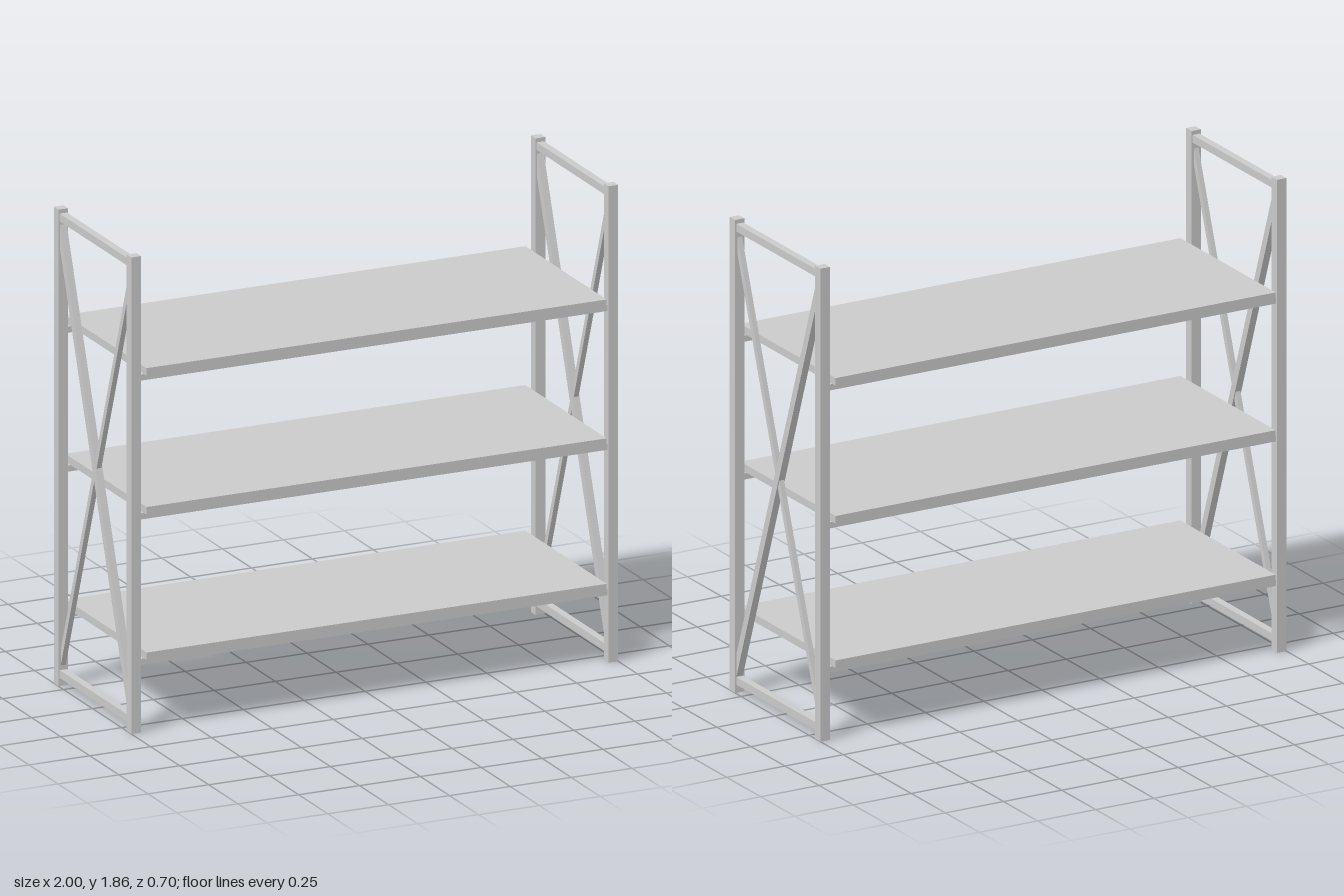
import * as THREE from 'three';

const H = 1.86, POST_X = 0.98, POST_Z = 0.314, POST = 0.04;
const GAP = POST_Z - POST / 2; // inner face of the posts
const material = new THREE.MeshStandardMaterial({ color: 0xcccccc, flatShading: true });

function add(parent, name, geometry, x, y, z) {
  const mesh = new THREE.Mesh(geometry, material);
  mesh.name = name;
  mesh.position.set(x, y, z);
  parent.add(mesh);
}

const box = (w, h, d) => new THREE.BoxGeometry(w, h, d);

// Diagonal bar in the YZ plane whose ends are cut flush with the posts.
// a and b are the [bottom, top] heights at the +z and -z ends.
function braceGeometry(a, b, depth) {
  const shape = new THREE.Shape([
    new THREE.Vector2(-GAP, a[0]), new THREE.Vector2(GAP, b[0]),
    new THREE.Vector2(GAP, b[1]), new THREE.Vector2(-GAP, a[1]),
  ]);
  const g = new THREE.ExtrudeGeometry(shape, { depth, bevelEnabled: false });
  return g.translate(0, 0, -depth / 2).rotateY(Math.PI / 2);
}

export function createModel() {
  const model = new THREE.Group();
  model.name = 'shelvingUnit';

  // End frames: two posts, top and bottom crossbars, crossed braces
  for (const side of [-1, 1]) {
    const frame = new THREE.Group();
    frame.name = side > 0 ? 'leftFrame' : 'rightFrame';
    frame.position.x = side * POST_X;
    for (const end of [-1, 1]) {
      add(frame, end > 0 ? 'frontPost' : 'backPost', box(POST, H, POST), 0, H / 2, end * POST_Z);
    }
    add(frame, 'bottomCrossbar', box(0.03, 0.03, 2 * GAP), 0, 0.047, 0);
    add(frame, 'topCrossbar', box(0.03, 0.03, 2 * GAP), 0, 1.829, 0);
    add(frame, 'wideBrace', braceGeometry([0.065, 0.155], [1.71, 1.80], 0.028), 0, 0, 0);
    add(frame, 'narrowBrace', braceGeometry([1.725, 1.79], [0.08, 0.145], 0.02), 0, 0, 0);
    model.add(frame);
  }

  // Shelves, each resting on a front and a back rail
  for (const y of [0.285, 0.853, 1.395]) {
    const level = new THREE.Group();
    level.name = 'shelfLevel';
    level.position.y = y;
    add(level, 'shelf', box(1.89, 0.03, 0.70), 0, 0.015, 0);
    for (const end of [-1, 1]) {
      add(level, end > 0 ? 'frontRail' : 'backRail',
        box(2 * POST_X - POST, 0.024, 0.024), 0, -0.012, end * POST_Z);
    }
    model.add(level);
  }
  return model;
}
